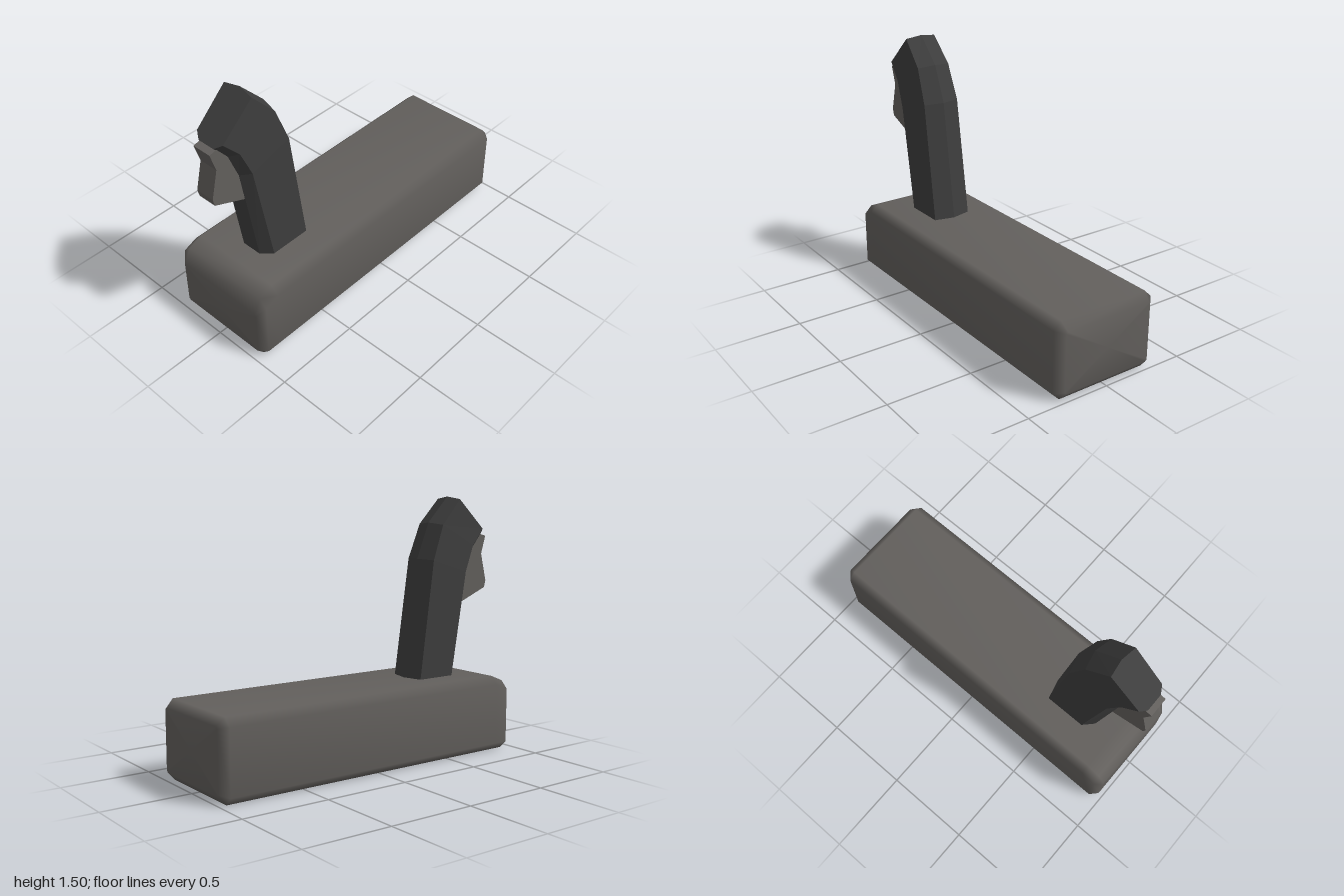
import * as THREE from 'three';

// Closed loft through rings of equal point count, with fan caps at both ends.
// Rings run counter-clockwise seen from the end they advance towards.
function loft(rings, flat) {
  const n = rings[0].length;
  const points = rings.flat();
  const index = [];
  for (let i = 0; i < rings.length - 1; i++) {
    for (let j = 0; j < n; j++) {
      const a = i * n + j, b = i * n + (j + 1) % n;
      index.push(a, b, b + n, a, b + n, a + n);
    }
  }
  [0, rings.length - 1].forEach((r, end) => {
    const center = new THREE.Vector3();
    rings[r].forEach((p) => center.addScaledVector(p, 1 / n));
    const c = points.push(center) - 1;
    for (let j = 0; j < n; j++) {
      const a = r * n + j, b = r * n + (j + 1) % n;
      index.push(...(end ? [c, a, b] : [c, b, a]));
    }
  });
  let geo = new THREE.BufferGeometry().setFromPoints(points);
  geo.setIndex(index);
  if (flat) geo = geo.toNonIndexed();
  geo.computeVertexNormals();
  return geo;
}

// Chamfered rectangle at depth z
function baseRing([z, w, y0, y1, c]) {
  return [
    [w, y0 + c], [w, y1 - c], [w - c, y1], [-w + c, y1],
    [-w, y1 - c], [-w, y0 + c], [-w + c, y0], [w - c, y0],
  ].map(([x, y]) => new THREE.Vector3(x, y, z));
}

// Seven-sided grip section: back ridge, back corners, side edges, front edges
function gripRing({ ridge, back, side, front, w }) {
  const v = (x, [z, y]) => new THREE.Vector3(x, y, z);
  return [
    v(0, ridge), v(-w[0], back), v(-w[1], side), v(-w[2], front),
    v(w[2], front), v(w[1], side), v(w[0], back),
  ];
}

export function createModel() {
  const group = new THREE.Group();
  const warmGrey = new THREE.MeshStandardMaterial({ color: 0x625f5c });
  warmGrey.name = 'warm grey';
  const darkGrey = new THREE.MeshStandardMaterial({ color: 0x3d3d3d });
  darkGrey.name = 'dark grey';

  const add = (name, geo, material) => {
    const mesh = new THREE.Mesh(geo, material);
    mesh.name = name;
    group.add(mesh);
  };

  // Long soft-edged base, with a broader slope on its top front edge
  add('base', loft([
    [-1, 0.275, 0.05, 0.4, 0.01],
    [-0.955, 0.32, 0, 0.445, 0.045],
    [0.85, 0.32, 0, 0.445, 0.045],
    [0.935, 0.32, 0, 0.41, 0.045],
    [0.975, 0.28, 0.045, 0.32, 0.01],
  ].map(baseRing), false), warmGrey);

  // Faceted grip leaning and curling forward; points are [z, y]
  add('grip', loft([
    { ridge: [0.405, 0.44], back: [0.433, 0.44], side: [0.675, 0.44], front: [0.73, 0.44], w: [0.117, 0.117, 0.06] },
    { ridge: [0.5, 1.137], back: [0.53, 1.133], side: [0.783, 1.056], front: [0.825, 1.04], w: [0.113, 0.113, 0.058] },
    { ridge: [0.584, 1.346], back: [0.606, 1.335], side: [0.847, 1.21], front: [0.885, 1.19], w: [0.104, 0.104, 0.055] },
    { ridge: [0.729, 1.496], back: [0.742, 1.482], side: [0.935, 1.305], front: [0.962, 1.28], w: [0.096, 0.092, 0.052] },
  ].map(gripRing), true), darkGrey);

  // Trigger on the front of the grip, profile in [z, y]
  const profile = [
    [0.78, 0.878], [0.804, 0.872], [0.99, 0.948], [1, 0.99], [0.96, 1.153],
    [0.992, 1.26], [0.938, 1.274], [0.88, 1.22], [0.81, 1.05],
  ].map(([z, y]) => new THREE.Vector2(z, y));
  const trigger = new THREE.ExtrudeGeometry(new THREE.Shape(profile), { depth: 0.114, bevelEnabled: false });
  trigger.translate(0, 0, -0.057).rotateY(-Math.PI / 2);
  add('trigger', trigger, warmGrey);

  return group;
}
